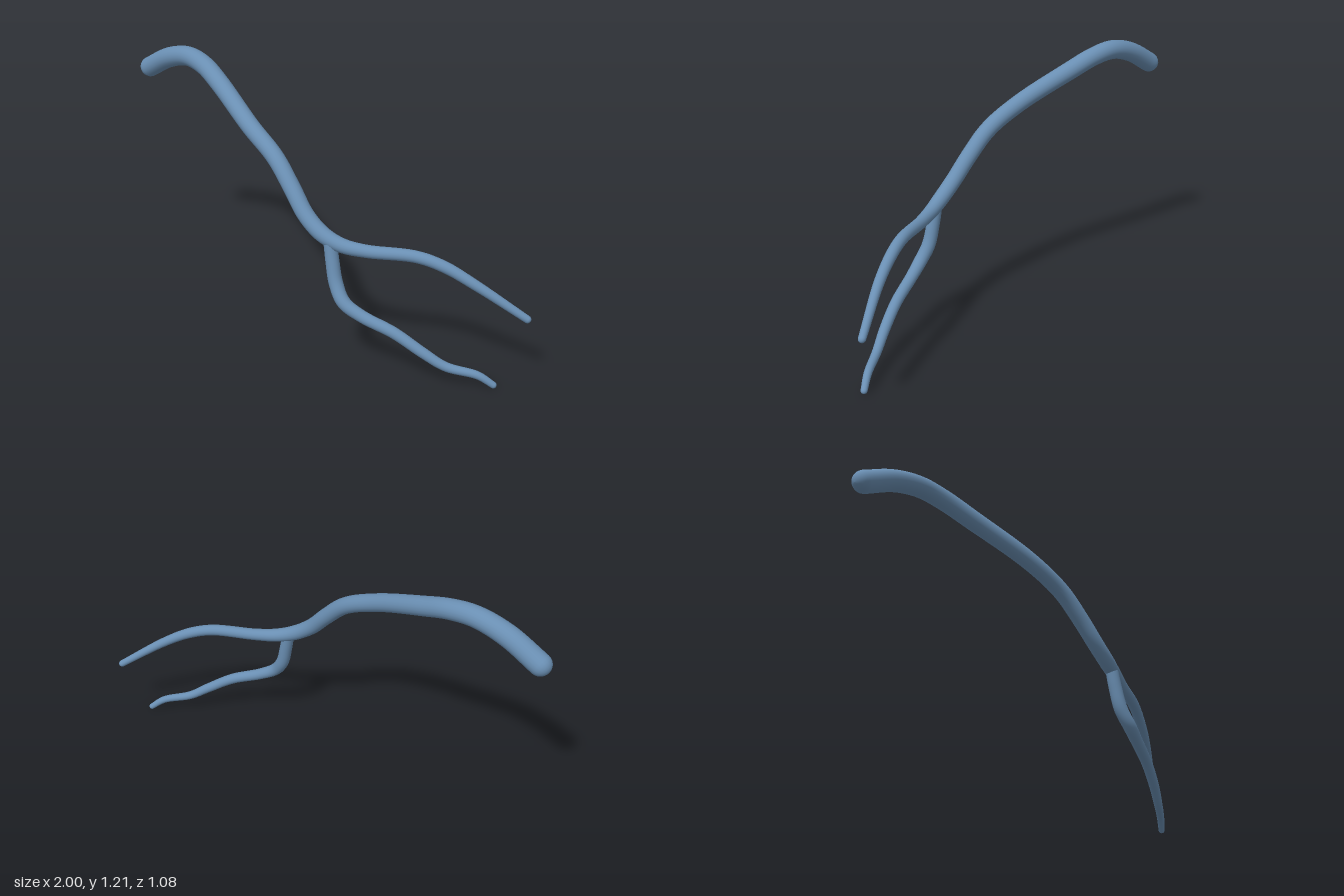
import * as THREE from 'three';

const SIDES = 20;

// Tapered tube with domed ends through stations [x, y, z, radius].
function taperedTube(name, stations, segments, material) {
  const curve = new THREE.CatmullRomCurve3(
    stations.map(([x, y, z]) => new THREE.Vector3(x, y, z)), false, 'centripetal');
  const frames = curve.computeFrenetFrames(segments, false);
  const radiusAt = (u) => {
    const t = curve.getUtoTmapping(u) * (stations.length - 1);
    const i = Math.min(Math.floor(t), stations.length - 2);
    return THREE.MathUtils.lerp(stations[i][3], stations[i + 1][3], t - i);
  };

  // Rings: start dome, body, end dome; each is [frame, push along tangent, radius].
  const rings = [];
  const r0 = radiusAt(0), r1 = radiusAt(1), steps = 6;
  for (let k = 0; k < steps; k++) {
    const a = (k / steps) * Math.PI / 2;
    rings.push([0, -r0 * Math.cos(a), r0 * Math.sin(a)]);
  }
  for (let i = 0; i <= segments; i++) rings.push([i, 0, radiusAt(i / segments)]);
  for (let k = 1; k <= steps; k++) {
    const a = (k / steps) * Math.PI / 2;
    rings.push([segments, r1 * Math.sin(a), r1 * Math.cos(a)]);
  }

  const positions = [], indices = [];
  rings.forEach(([i, push, radius], row) => {
    const centre = curve.getPointAt(i / segments).addScaledVector(frames.tangents[i], push);
    for (let j = 0; j < SIDES; j++) {
      const a = (j / SIDES) * Math.PI * 2;
      const p = centre.clone()
        .addScaledVector(frames.normals[i], radius * Math.cos(a))
        .addScaledVector(frames.binormals[i], radius * Math.sin(a));
      positions.push(p.x, p.y, p.z);
      if (row === rings.length - 1) continue;
      const b = row * SIDES + j, c = row * SIDES + (j + 1) % SIDES;
      indices.push(b, c, b + SIDES, c, c + SIDES, b + SIDES);
    }
  });
  const geometry = new THREE.BufferGeometry();
  geometry.setAttribute('position', new THREE.Float32BufferAttribute(positions, 3));
  geometry.setIndex(indices);
  geometry.computeVertexNormals();
  const mesh = new THREE.Mesh(geometry, material);
  mesh.name = name;
  return mesh;
}

export function createModel() {
  const group = new THREE.Group();
  group.name = 'branchingVessel';
  const material = new THREE.MeshStandardMaterial({ color: 0x6a8fb3 });

  // Thick trunk running on into the upper branch
  group.add(taperedTube('trunkAndUpperBranch', [
    [-0.95, 1.05, -0.495, 0.05],
    [-0.82, 1.13, -0.41, 0.049],
    [-0.70, 1.165, -0.33, 0.047],
    [-0.60, 1.15, -0.25, 0.046],
    [-0.50, 1.10, -0.15, 0.045],
    [-0.30, 0.975, 0.07, 0.042],
    [-0.16, 0.88, 0.19, 0.04],
    [-0.07, 0.77, 0.265, 0.039],
    [0.00, 0.675, 0.32, 0.038],
    [0.08, 0.61, 0.362, 0.037],
    [0.17, 0.575, 0.388, 0.033],
    [0.28, 0.565, 0.405, 0.029],
    [0.50, 0.57, 0.43, 0.027],
    [0.62, 0.54, 0.443, 0.026],
    [0.75, 0.475, 0.456, 0.023],
    [0.98, 0.333, 0.46, 0.017],
  ], 110, material));

  // Lower branch dropping from the fork
  group.add(taperedTube('lowerBranch', [
    [0.118, 0.585, 0.378, 0.03],
    [0.13, 0.50, 0.39, 0.031],
    [0.15, 0.40, 0.41, 0.032],
    [0.19, 0.327, 0.443, 0.031],
    [0.27, 0.28, 0.465, 0.028],
    [0.42, 0.225, 0.492, 0.026],
    [0.55, 0.15, 0.51, 0.024],
    [0.65, 0.095, 0.515, 0.021],
    [0.79, 0.065, 0.512, 0.018],
    [0.858, 0.022, 0.508, 0.015],
  ], 80, material));

  return group;
}
